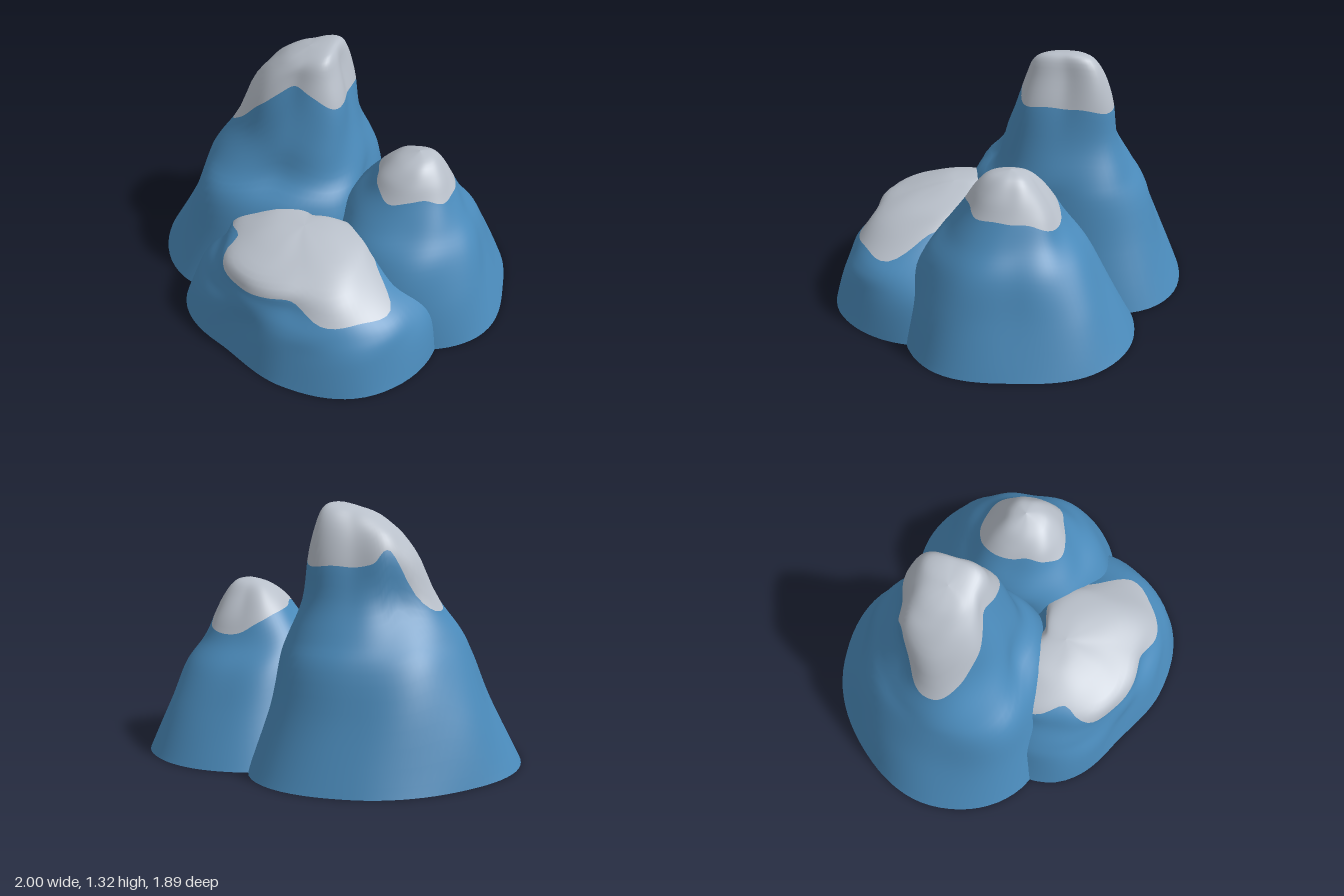
import * as THREE from 'three';

const SEG = 80, ROCK_ROWS = 20, SNOW_ROWS = 14;

// Smooth interpolation through four neighbouring values
function spline(a, b, c, d, t) {
  return b + 0.5 * t * (c - a + t * (2 * a - 5 * b + 4 * c - d + t * (3 * (b - c) + d - a)));
}

// Smooth value around a closed list, u in 0..1
function around(list, u) {
  const n = list.length, s = u * n, i = Math.floor(s), at = k => list[(k + n) % n];
  return spline(at(i - 1), at(i), at(i + 1), at(i + 2), s - i);
}

// Each ring: [y, centre x, centre z, tilt, radii from +x round by +z in eight directions]
function surfacePoint(rings, t, u) {
  const last = rings.length - 1;
  const i = Math.min(Math.floor(t), last - 1), f = t - i;
  const at = k => rings[Math.max(0, Math.min(last, k))];
  const mix = get => spline(get(at(i - 1)), get(at(i)), get(at(i + 1)), get(at(i + 2)), f);
  const angle = u * Math.PI * 2;
  const fold = 1 + 0.012 * Math.min(1, t) * Math.sin(7 * angle + 2 * t);
  const r = Math.max(0, mix(ring => around(ring[4], u))) * fold;
  const dx = r * Math.cos(angle);
  return [mix(g => g[1]) + dx, mix(g => g[0]) + mix(g => g[3]) * dx, mix(g => g[2]) + r * Math.sin(angle)];
}

// Ring position belonging to a height
function ringAt(rings, y) {
  let i = 0;
  while (i < rings.length - 2 && rings[i + 1][0] < y) i++;
  return i + (y - rings[i][0]) / (rings[i + 1][0] - rings[i][0]);
}

// Closed grid of rows, from bottom to top
function rowsGeometry(rows, point) {
  const pos = [], index = [];
  for (let v = 0; v <= rows; v++)
    for (let s = 0; s < SEG; s++) pos.push(...point(v, s / SEG));
  for (let v = 0; v < rows; v++)
    for (let s = 0; s < SEG; s++) {
      const n = (s + 1) % SEG, a = v * SEG + s, b = v * SEG + n;
      index.push(a, a + SEG, b, b, a + SEG, b + SEG);
    }
  const g = new THREE.BufferGeometry();
  g.setAttribute('position', new THREE.Float32BufferAttribute(pos, 3));
  g.setIndex(index);
  g.computeVertexNormals();
  return g;
}

function mountain(name, rings, snowLine, rock, snow) {
  const group = new THREE.Group();
  group.name = name;
  const top = rings.length - 1;
  // Slopes below the snow line and cap above it share one smooth surface
  const body = rowsGeometry(ROCK_ROWS + SNOW_ROWS, (v, u) => {
    const line = ringAt(rings, around(snowLine, u));
    const t = v <= ROCK_ROWS ? line * v / ROCK_ROWS : line + (top - line) * (v - ROCK_ROWS) / SNOW_ROWS;
    return surfacePoint(rings, t, u);
  });
  body.addGroup(0, ROCK_ROWS * SEG * 6, 0);
  body.addGroup(ROCK_ROWS * SEG * 6, SNOW_ROWS * SEG * 6, 1);
  const slopes = new THREE.Mesh(body, [rock, snow]);
  slopes.name = 'slopesAndSnowCap';
  // Flat underside
  const under = new THREE.Mesh(rowsGeometry(1, (v, u) => {
    const p = surfacePoint(rings, 0, u);
    return v ? p : [rings[0][1], 0, rings[0][2]];
  }), rock);
  under.name = 'underside';
  group.add(slopes, under);
  return group;
}

const TALL = [
  [0, -0.3, -0.2, 0, [0.55, 0.5, 0.5, 0.67, 0.7, 0.67, 0.73, 0.78]],
  [0.3, -0.3, -0.2, 0, [0.52, 0.55, 0.5, 0.56, 0.54, 0.58, 0.6, 0.66]],
  [0.55, -0.28, -0.22, 0, [0.46, 0.5, 0.45, 0.5, 0.46, 0.47, 0.49, 0.56]],
  [0.68, -0.25, -0.24, 0, [0.41, 0.41, 0.34, 0.42, 0.43, 0.38, 0.39, 0.46]],
  [0.85, -0.22, -0.25, 0, [0.32, 0.35, 0.3, 0.31, 0.35, 0.28, 0.29, 0.36]],
  [1.05, -0.2, -0.27, 0, [0.25, 0.31, 0.24, 0.27, 0.28, 0.26, 0.23, 0.31]],
  [1.18, -0.19, -0.27, 0.12, [0.2, 0.25, 0.19, 0.22, 0.21, 0.22, 0.19, 0.26]],
  [1.26, -0.17, -0.26, 0.25, [0.16, 0.19, 0.15, 0.16, 0.16, 0.17, 0.15, 0.2]],
  [1.295, -0.16, -0.26, 0.27, [0.11, 0.12, 0.09, 0.1, 0.1, 0.1, 0.09, 0.12]],
  [1.305, -0.16, -0.26, 0.27, [0, 0, 0, 0, 0, 0, 0, 0]],
];
const TALL_SNOW = [1.05, 1.06, 1.06, 1.12, 1.16, 1.1, 1.0, 0.88, 0.8, 0.84, 1.1, 1.04, 1.02, 1.03, 1.02, 1.05];

const SIDE = [
  [0, 0.5, -0.08, 0, [0.5, 0.59, 0.6, 0.6, 0.4, 0.6, 0.59, 0.55]],
  [0.25, 0.5, -0.08, 0, [0.39, 0.5, 0.56, 0.55, 0.38, 0.48, 0.45, 0.44]],
  [0.45, 0.5, -0.07, 0, [0.32, 0.41, 0.47, 0.48, 0.38, 0.4, 0.35, 0.34]],
  [0.58, 0.47, -0.05, 0, [0.27, 0.33, 0.34, 0.37, 0.34, 0.32, 0.26, 0.27]],
  [0.7, 0.47, -0.05, 0, [0.21, 0.25, 0.26, 0.27, 0.24, 0.24, 0.19, 0.21]],
  [0.8, 0.48, -0.04, 0, [0.15, 0.18, 0.19, 0.2, 0.17, 0.17, 0.13, 0.15]],
  [0.87, 0.48, -0.03, 0.1, [0.09, 0.1, 0.11, 0.11, 0.1, 0.1, 0.08, 0.09]],
  [0.9, 0.49, -0.03, 0.1, [0, 0, 0, 0, 0, 0, 0, 0]],
];
const SIDE_SNOW = [0.69, 0.7, 0.7, 0.73, 0.72, 0.7, 0.74, 0.77, 0.75, 0.74, 0.72, 0.68, 0.63, 0.62, 0.64, 0.68];

const FRONT = [
  [0, 0, 0.4, 0, [0.71, 0.66, 0.53, 0.5, 0.71, 0.7, 0.5, 0.6]],
  [0.2, 0, 0.4, 0, [0.66, 0.6, 0.47, 0.45, 0.64, 0.6, 0.4, 0.5]],
  [0.3, 0, 0.4, 0, [0.59, 0.55, 0.43, 0.43, 0.57, 0.56, 0.35, 0.48]],
  [0.38, 0, 0.41, 0, [0.45, 0.47, 0.36, 0.4, 0.5, 0.53, 0.3, 0.42]],
  [0.47, 0, 0.41, 0, [0.34, 0.36, 0.31, 0.36, 0.44, 0.48, 0.25, 0.33]],
  [0.53, 0, 0.4, 0, [0.26, 0.23, 0.17, 0.21, 0.32, 0.38, 0.2, 0.27]],
  [0.57, -0.04, 0.34, 0, [0.15, 0.1, 0.07, 0.1, 0.16, 0.2, 0.11, 0.15]],
  [0.58, -0.04, 0.33, 0, [0, 0, 0, 0, 0, 0, 0, 0]],
];
const FRONT_SNOW = [0.45, 0.35, 0.36, 0.36, 0.43, 0.42, 0.4, 0.41, 0.5, 0.46, 0.53, 0.535, 0.53, 0.53, 0.51, 0.48];

export function createModel() {
  const rock = new THREE.MeshStandardMaterial({ color: 0x4a8aba });
  rock.name = 'blueRock';
  const snow = new THREE.MeshStandardMaterial({ color: 0xb9c0ca });
  snow.name = 'paleSnow';
  const model = new THREE.Group();
  model.name = 'mountains';
  model.add(
    mountain('tallPeak', TALL, TALL_SNOW, rock, snow),
    mountain('sidePeak', SIDE, SIDE_SNOW, rock, snow),
    mountain('frontHill', FRONT, FRONT_SNOW, rock, snow),
  );
  return model;
}
